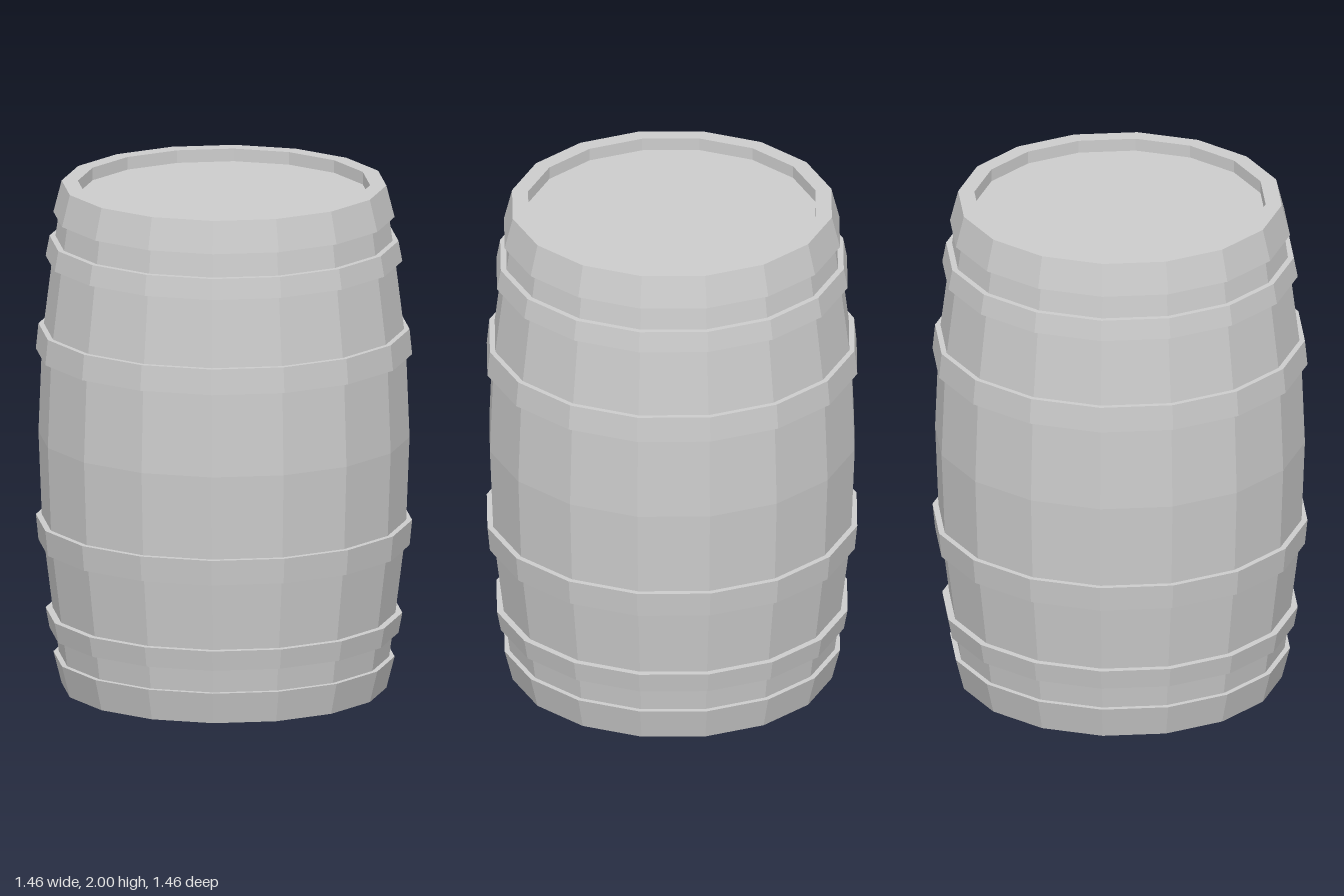
import * as THREE from 'three';

const SIDES = 16;
const material = new THREE.MeshStandardMaterial({ color: 0xcccccc, flatShading: true });

// Spins a profile of [radius, height] pairs, listed counterclockwise, around y.
function lathe(name, profile) {
  const points = profile.map(([r, y]) => new THREE.Vector2(r, y));
  const mesh = new THREE.Mesh(new THREE.LatheGeometry(points, SIDES), material);
  mesh.name = name;
  return mesh;
}

const mirrorY = (profile) => profile.map(([r, y]) => [r, 2 - y]).reverse();

export function createModel() {
  const barrel = new THREE.Group();
  barrel.name = 'barrel';

  // Bulging staves, rim and recessed lid: upper half, mirrored for the lower half
  const upper = [
    [0.72, 1], [0.705, 1.38], [0.665, 1.7], [0.64, 1.88], [0.61, 2],
    [0.567, 2], [0.567, 1.95], [0, 1.95],
  ];
  barrel.add(lathe('staves', [...mirrorY(upper).slice(0, -1), ...upper]));

  // Hoops: lower height, upper height, lower radius, upper radius, inner radius
  const hoops = [
    ['middleHoop', 1.33, 1.43, 0.73, 0.72, 0.68],
    ['quarterHoop', 1.7, 1.78, 0.692, 0.677, 0.64],
    ['endHoop', 1.875, 2, 0.662, 0.63, 0.61],
  ];
  for (const [name, y0, y1, r0, r1, inner] of hoops) {
    const profile = [[inner, y0], [r0, y0], [r1, y1], [inner, y1]];
    barrel.add(lathe(name + 'Upper', profile));
    barrel.add(lathe(name + 'Lower', mirrorY(profile)));
  }
  return barrel;
}
